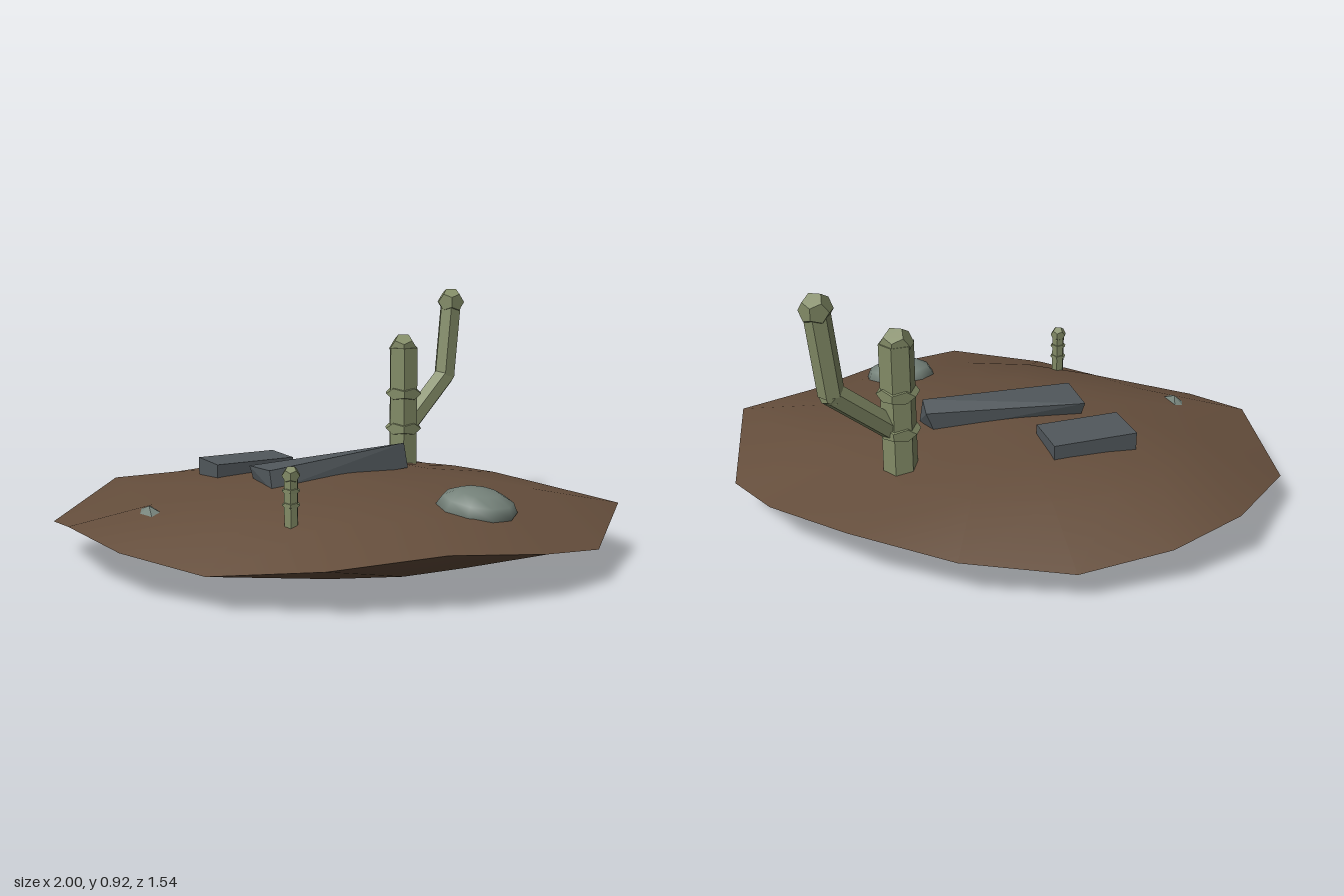
import * as THREE from 'three';
import { ConvexGeometry } from 'three/addons/geometries/ConvexGeometry.js';

const mat = (name, color) => {
  const m = new THREE.MeshStandardMaterial({ color });
  m.name = name;
  return m;
};
const V = (x, y, z) => new THREE.Vector3(x, y, z);

export function createModel() {
  const earth = mat('earth brown', 0x654e3c);
  const plant = mat('plant green', 0x828b66);
  const slate = mat('slate grey', 0x51585c);
  const stone = mat('stone grey green', 0x75827a);

  const model = new THREE.Group();
  model.name = 'desertIsland';
  const add = (parent, name, geometry, material, pos) => {
    const mesh = new THREE.Mesh(geometry, material);
    mesh.name = name;
    if (pos) mesh.position.copy(pos);
    parent.add(mesh);
    return mesh;
  };

  // Zigzag rim: x, y, z going from +x towards +z
  const H = 0.19, M = 0.152, L = 0.118;
  const rim = [
    [1, H, 0.03], [0.855, L, 0.39], [0.66, M, 0.57], [0.34, H, 0.725],
    [-0.02, M, 0.768], [-0.38, L, 0.705], [-0.66, M, 0.57], [-0.86, H, 0.39],
    [-1, L, 0.03], [-0.86, H, -0.39], [-0.66, M, -0.57], [-0.38, L, -0.71],
    [-0.02, M, -0.768], [0.34, H, -0.73], [0.66, M, -0.57], [0.86, L, -0.39],
  ];

  // Shell of shrinking rings [scale, height] from the rim to a centre point
  const shell = (rings, up) => {
    const n = rim.length;
    const pos = rim.flat();
    const index = [];
    const tri = (a, b, c) => index.push(...(up ? [b, a, c] : [a, b, c]));
    for (const [s, y] of rings) for (const p of rim) pos.push(p[0] * s, y, p[2] * s);
    for (let r = 0; r < rings.length; r++) {
      for (let i = 0; i < n; i++) {
        const a = r * n + i, b = r * n + (i + 1) % n;
        tri(a, b, a + n);
        tri(b, b + n, a + n);
      }
    }
    const g = new THREE.BufferGeometry();
    g.setAttribute('position', new THREE.Float32BufferAttribute(pos, 3));
    g.setIndex(index);
    g.computeVertexNormals();
    return g;
  };
  add(model, 'groundTop', shell([[0.7, 0.238], [0.4, 0.275], [0.001, 0.298]], true), earth);
  add(model, 'groundUnderside', shell([[0.65, 0.05], [0.38, 0.02], [0.001, 0]], false), earth);

  // Plant helpers: straight six-sided stem, faceted knob
  const stem = (parent, name, a, b, r) => {
    const d = b.clone().sub(a);
    const m = add(parent, name, new THREE.CylinderGeometry(r, r, d.length(), 6).toNonIndexed(),
      plant, a.clone().add(b).multiplyScalar(0.5));
    m.geometry.computeVertexNormals();
    m.quaternion.setFromUnitVectors(V(0, 1, 0), d.normalize());
  };
  const knob = (parent, name, p, r, squash = 1) => {
    add(parent, name, new THREE.DodecahedronGeometry(r), plant, p).scale.y = squash;
  };

  // Large branching cactus
  const cactus = new THREE.Group();
  cactus.name = 'largeCactus';
  model.add(cactus);
  stem(cactus, 'trunk', V(0.26, 0.22, -0.39), V(0.26, 0.7, -0.39), 0.059);
  knob(cactus, 'trunkCap', V(0.258, 0.695, -0.393), 0.057);
  for (const y of [0.39, 0.525]) knob(cactus, 'trunkJoint', V(0.26, y, -0.39), 0.072, 0.5);
  const elbow = V(0.43, 0.575, -0.545);
  stem(cactus, 'armLower', V(0.27, 0.39, -0.4), elbow, 0.042);
  knob(cactus, 'armElbow', elbow, 0.042);
  stem(cactus, 'armUpper', elbow, V(0.453, 0.86, -0.565), 0.043);
  knob(cactus, 'armCap', V(0.453, 0.865, -0.567), 0.054);

  // Small cactus
  const sprout = new THREE.Group();
  sprout.name = 'smallCactus';
  model.add(sprout);
  stem(sprout, 'sproutStem', V(-0.132, 0.22, 0.52), V(-0.132, 0.39, 0.52), 0.024);
  knob(sprout, 'sproutCap', V(-0.132, 0.388, 0.52), 0.03);
  for (const y of [0.295, 0.34]) knob(sprout, 'sproutJoint', V(-0.132, y, 0.52), 0.03, 0.45);

  // Slabs: a tapered leaning one and a plain block
  add(model, 'longSlab', new ConvexGeometry([
    V(-0.3, 0.325, 0.05), V(-0.22, 0.335, 0.19), V(0.25, 0.375, -0.13), V(0.225, 0.345, -0.18),
    V(-0.28, 0.26, 0.06), V(-0.21, 0.27, 0.213), V(0.265, 0.285, -0.12), V(0.2, 0.27, -0.165),
  ]), slate);
  add(model, 'shortSlab', new THREE.BoxGeometry(0.3, 0.09, 0.168), slate,
    V(-0.328, 0.275, -0.135)).rotation.y = Math.PI / 6;

  // Boulder: smooth low dome leaning with the ground
  const boulder = add(model, 'boulder', new THREE.SphereGeometry(1, 10, 6), stone,
    V(0.465, 0.242, 0.335));
  boulder.scale.set(0.135, 0.066, 0.116);
  boulder.rotation.set(0.12, 0, -0.12);

  // Small stone chip
  add(model, 'pebble', new ConvexGeometry([
    V(-0.645, 0.225, 0.29), V(-0.61, 0.235, 0.285), V(-0.56, 0.228, 0.36),
    V(-0.585, 0.22, 0.4), V(-0.64, 0.218, 0.35), V(-0.605, 0.248, 0.34), V(-0.6, 0.2, 0.34),
  ]), stone);

  return model;
}
